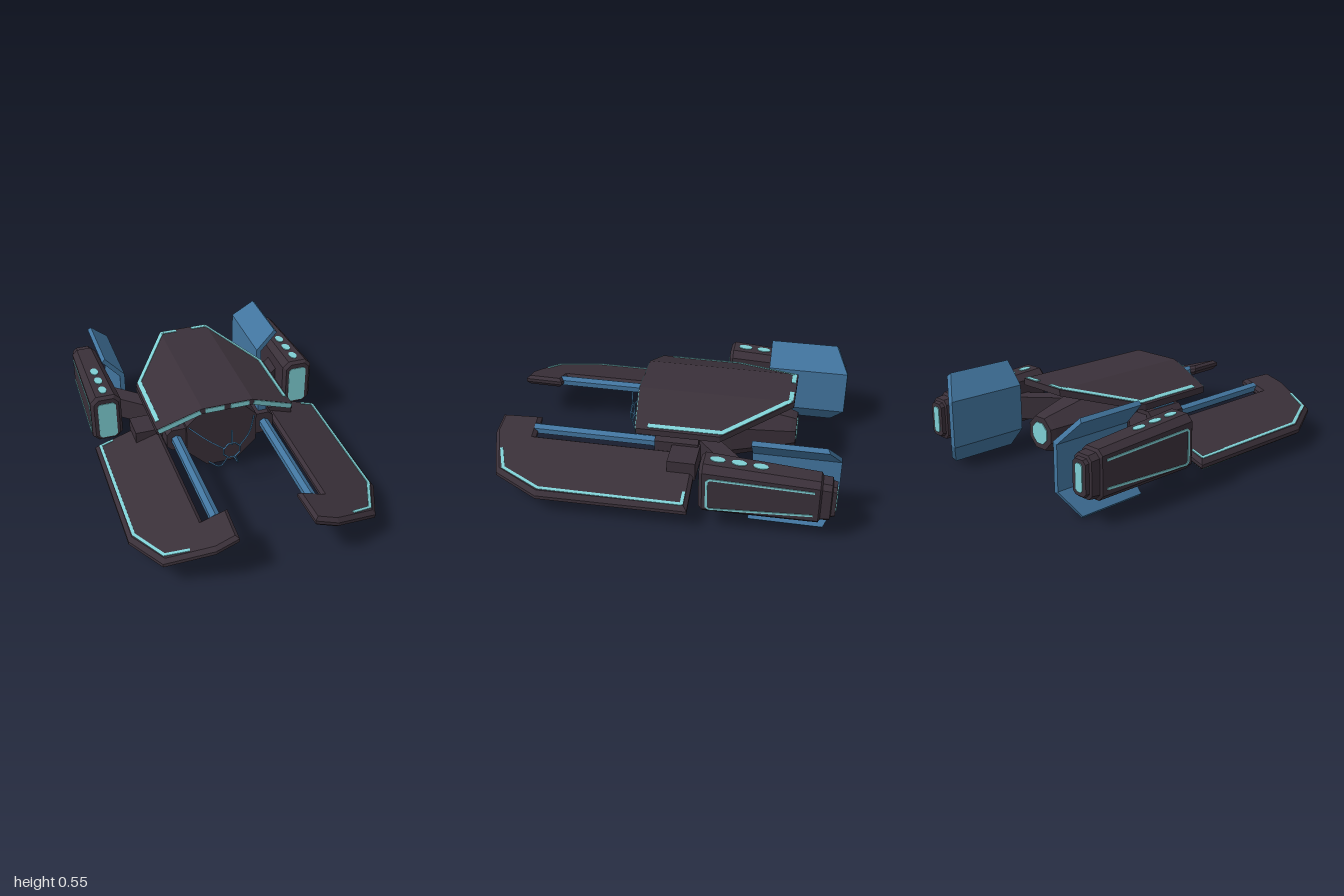
import * as THREE from 'three';

const mat = (name, color) => {
  const m = new THREE.MeshStandardMaterial({ color });
  m.name = name;
  return m;
};

// Faceted body through cross-sections (front to back, each counter-clockwise seen from the first end)
function loft(sections) {
  const pos = [];
  const tri = (a, b, c) => pos.push(...a, ...b, ...c);
  const n = sections[0].length;
  for (let s = 0; s < sections.length - 1; s++) {
    const a = sections[s], b = sections[s + 1];
    for (let i = 0; i < n; i++) {
      const j = (i + 1) % n;
      tri(a[i], b[i], a[j]);
      tri(a[j], b[i], b[j]);
    }
  }
  const first = sections[0], last = sections[sections.length - 1];
  for (let i = 1; i < n - 1; i++) {
    tri(first[0], first[i], first[i + 1]);
    tri(last[0], last[i + 1], last[i]);
  }
  const g = new THREE.BufferGeometry();
  g.setAttribute('position', new THREE.Float32BufferAttribute(pos, 3));
  return g;
}

// Rectangle with cut corners, facing +z
function rect(cx, cy, w, h, c, z) {
  const x = w / 2, y = h / 2;
  return [[x, c - y], [x, y - c], [x - c, y], [c - x, y], [-x, y - c], [-x, c - y], [c - x, -y], [x - c, -y]]
    .map(([px, py]) => [cx + px, cy + py, z]);
}

// Flat bar between two points: width lies across, thick lies along the normal
function bar(a, b, width, normal, thick = 0.008) {
  const p = new THREE.Vector3(...a), q = new THREE.Vector3(...b);
  const dir = q.clone().sub(p);
  const len = dir.length();
  dir.normalize();
  const side = new THREE.Vector3(...normal).cross(dir).normalize();
  const up = dir.clone().cross(side);
  const g = new THREE.BoxGeometry(width, thick, len + width * 0.4);
  g.applyMatrix4(new THREE.Matrix4().makeBasis(side, up, dir).setPosition(p.add(q).multiplyScalar(0.5)));
  return g;
}

export function createModel() {
  const dark = mat('dark hull', 0x3a3039);
  const cyan = mat('cyan glow', 0x7ecfd4);
  const blue = mat('blue metal', 0x42759f);
  const model = new THREE.Group();
  model.name = 'spaceship';

  const add = (name, geo, material) => {
    const g = geo.index ? geo.toNonIndexed() : geo;
    g.deleteAttribute('uv');
    g.computeVertexNormals();
    const m = new THREE.Mesh(g, material);
    m.name = name;
    model.add(m);
    return g;
  };
  // Adds a part on the left and its mirror image on the right
  const pair = (name, geo, material) => {
    const g = add(name + 'Left', geo, material).clone();
    const p = g.attributes.position;
    for (let i = 0; i < p.count; i += 3) {
      const v = [0, 2, 1].map(k => [-p.getX(i + k), p.getY(i + k), p.getZ(i + k)]);
      v.forEach((c, k) => p.setXYZ(i + k, ...c));
    }
    add(name + 'Right', g, material);
  };
  const stripe = (name, pts, width, normal) => {
    for (let i = 0; i < pts.length - 1; i++) pair(name, bar(pts[i], pts[i + 1], width, normal), cyan);
  };
  const box = (w, h, d, x, y, z) => new THREE.BoxGeometry(w, h, d).translate(x, y, z);

  // Central hull, tapering to the rear nozzle
  add('hull', loft([[0.07, 0.43], [-0.2, 0.43], [-0.37, 0.36], [-0.7, 0.2], [-0.73, 0.18]]
    .map(([z, s]) => rect(0, 0.27, s, s, s * 0.29, z))), dark);
  add('nozzleGlow', loft([-0.729, -0.735].map(z => rect(0, 0.27, 0.12, 0.12, 0.035, z))), cyan);
  add('collar', loft([0.05, -0.2].map(z => rect(0, 0.27, 0.66, 0.14, 0.03, z))), dark);
  pair('wingRoot', box(0.19, 0.11, 0.16, 0.395, 0.24, -0.13), dark);

  // Nose cage
  add('cageRing', new THREE.TorusGeometry(0.053, 0.006, 4, 8).rotateZ(Math.PI / 8).translate(0, 0.275, 0.25), blue);
  const strut = pts => new THREE.TubeGeometry(
    new THREE.CatmullRomCurve3(pts.map(p => new THREE.Vector3(...p))), 6, 0.005, 4);
  pair('cageUpperStrut', strut([[0.045, 0.295, 0.25], [0.12, 0.33, 0.2], [0.2, 0.35, 0.07]]), blue);
  pair('cageLowerStrut', strut([[0.025, 0.23, 0.25], [0.055, 0.14, 0.21], [0.08, 0.07, 0.07]]), blue);
  add('cageMast', box(0.008, 0.1, 0.008, 0, 0.365, 0.25), blue);

  // Folded roof plate
  const fold = x => 0.545 - Math.max(0, Math.abs(x) - 0.15) * 0.41;
  const front = x => 0.17 - Math.max(0, Math.abs(x) - 0.15) * 0.115;
  const half = [[0.41, -0.33], [0.39, -0.36], [0.15, -0.71]];
  add('roofPlate', loft([...half, ...half.map(([x, z]) => [-x, z]).reverse()].map(([x, z]) => {
    const y = fold(x), f = front(x);
    return [[x, y - 0.036, z], [x, y, z], [x, y, f], [x, y - 0.036, f]];
  })), dark);
  const roof = (x, z) => [x, fold(x), z];
  stripe('roofEdgeStripe', [roof(0.387, 0.07), roof(0.385, -0.34), roof(0.145, -0.687)], 0.024, [0.41, 1, 0]);
  stripe('roofRearStripe', [roof(0.142, -0.69), roof(0.055, -0.69)], 0.024, [0, 1, 0]);
  const lip = x => [x, fold(x) - 0.018, front(x)];
  stripe('roofFrontLight', [lip(0.025), lip(0.125)], 0.03, [0, 0, 1]);
  stripe('roofFrontSlopeLight', [lip(0.165), lip(0.395)], 0.03, [0, 0, 1]);
  pair('roofPillar', box(0.05, 0.15, 0.155, 0.27, 0.395, -0.06), blue);

  // Drooping forward wings with bevelled rims
  const droop = x => 0.29 - 0.325 * (x - 0.2);
  const outline = [[0.71, -0.2], [0.72, 0.65], [0.6, 0.91], [0.34, 0.99], [0.21, 0.98], [0.2, 0.75], [0.34, 0.75], [0.34, -0.2]];
  const wing = new THREE.ExtrudeGeometry(
    new THREE.Shape(outline.map(([x, z]) => new THREE.Vector2(x, -z))),
    { depth: 0.02, bevelEnabled: true, bevelSize: 0.02, bevelThickness: 0.02, bevelOffset: -0.02, bevelSegments: 1 });
  wing.rotateX(-Math.PI / 2).translate(0, -0.01, 0);
  const wp = wing.attributes.position;
  for (let i = 0; i < wp.count; i++) wp.setY(i, wp.getY(i) + droop(wp.getX(i)));
  pair('wing', wing, dark);
  const trim = [[0.61, -0.168], [0.683, -0.168], [0.686, 0.64], [0.583, 0.87], [0.46, 0.917]];
  for (const s of [1, -1]) {
    const on = ([x, z]) => [x, droop(x) + s * 0.03, z];
    stripe(s > 0 ? 'wingTopStripe' : 'wingUnderStripe', trim.map(on), 0.017, [0.325 * s, s, 0]);
    if (s < 0) stripe('wingUnderLight', [[0.43, 0.9], [0.36, 0.92]].map(on), 0.05, [-0.325, -1, 0]);
  }
  pair('wingRod', new THREE.CylinderGeometry(0.032, 0.032, 0.77, 6).rotateX(Math.PI / 2).translate(0.272, 0.27, 0.385), blue);

  // Engine pods on swept arms
  pair('podArm', bar([0.2, 0.25, -0.19], [0.56, 0.25, -0.51], 0.1, [0, 1, 0], 0.135), dark);
  const pod = [[-0.26, 0.15, 0.28, 0.283], [-0.28, 0.185, 0.31, 0.283], [-0.9, 0.15, 0.27, 0.262], [-0.91, 0.13, 0.24, 0.262],
    [-0.96, 0.125, 0.23, 0.262], [-0.965, 0.1, 0.2, 0.262], [-0.987, 0.095, 0.19, 0.262]];
  pair('pod', loft(pod.map(([z, w, h, y]) => rect(0.612, y, w, h, w * 0.2, z))), dark);
  pair('podFrontLight', loft([-0.256, -0.262].map(z => rect(0.61, 0.275, 0.11, 0.24, 0.015, z))), cyan);
  pair('podRearLight', loft([-0.986, -0.992].map(z => rect(0.612, 0.262, 0.05, 0.15, 0.012, z))), cyan);
  const sideLine = [[-0.87, 0.342], [-0.32, 0.365], [-0.305, 0.35], [-0.305, 0.185], [-0.32, 0.17], [-0.87, 0.192]];
  stripe('podSideStripe', sideLine.map(([z, y]) => [0.7045 + (z + 0.28) * 0.028, y, z]), 0.012, [1, 0, 0]);
  for (const z of [-0.35, -0.465, -0.58]) {
    const spot = () => new THREE.CylinderGeometry(1, 1, 0.008, 10).scale(0.024, 1, 0.042);
    pair('podTopLight', spot().rotateX(-0.066).translate(0.612, 0.438 + (z + 0.28) * 0.066, z), cyan);
    pair('podUnderLight', spot().translate(0.612, 0.128, z), cyan);
  }

  // Folded blue fins beside the pods, clipped at the rear tips
  const finShape = new THREE.Shape([[0.435, 0.405], [0.435, 0.135], [0.55, 0.005], [0.57, 0.025],
    [0.465, 0.145], [0.465, 0.395], [0.57, 0.515], [0.55, 0.535]].map(p => new THREE.Vector2(...p)));
  const fin = new THREE.ExtrudeGeometry(finShape, { depth: 0.48, bevelEnabled: false }).translate(0, 0, -1);
  const fp = fin.attributes.position;
  for (let i = 0; i < fp.count; i++) {
    if (fp.getZ(i) < -0.9) fp.setZ(i, -1 + Math.max(0, Math.abs(fp.getY(i) - 0.27) - 0.13) * 0.6);
  }
  pair('fin', fin, blue);

  return model;
}
